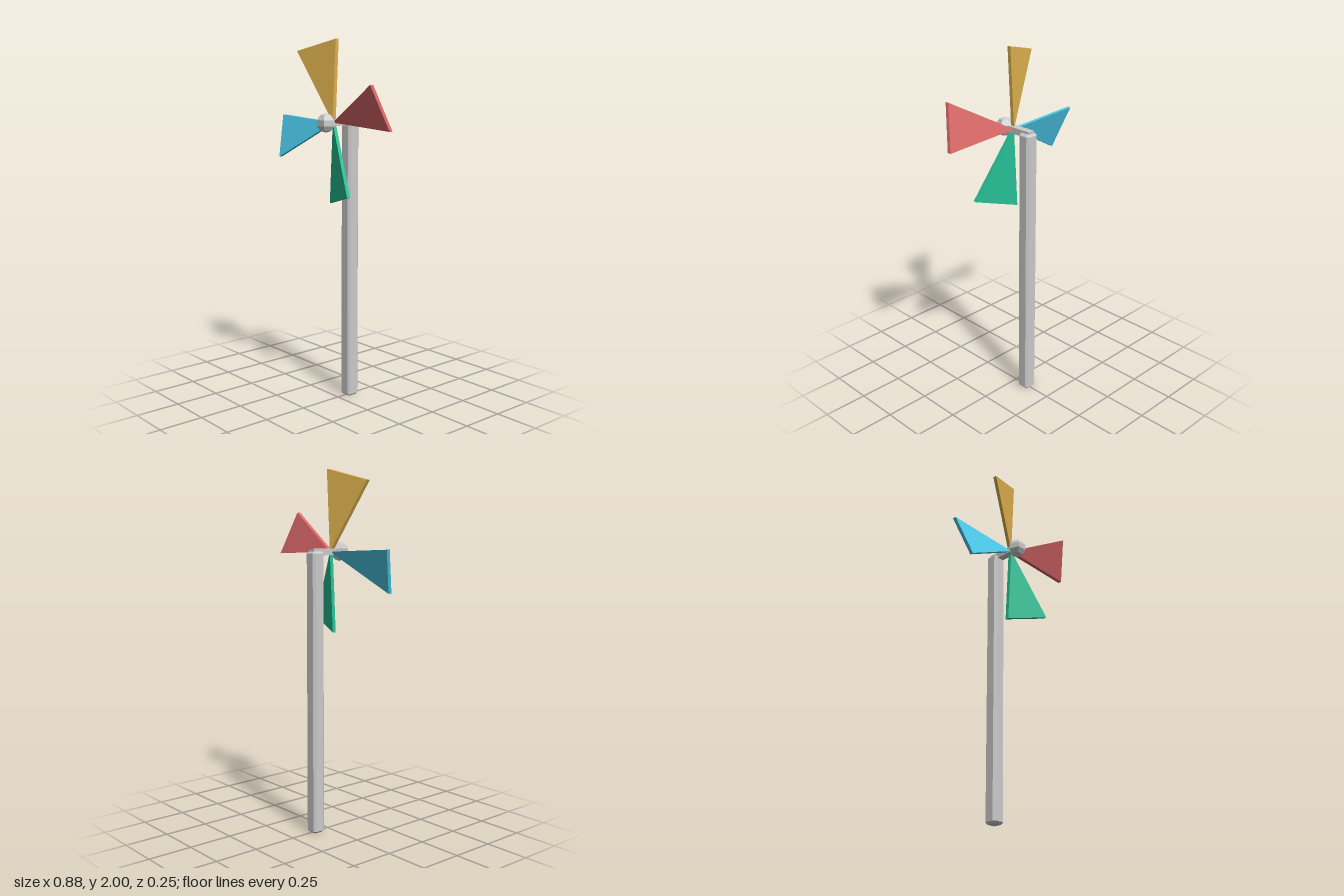
import * as THREE from 'three';

const HUB_Y = 1.56;

function mat(color) {
  return new THREE.MeshStandardMaterial({ color, flatShading: true });
}

function add(parent, name, geometry, color = 0xcccccc) {
  const mesh = new THREE.Mesh(geometry, mat(color));
  mesh.name = name;
  parent.add(mesh);
  return mesh;
}

// Square post with chamfered long edges and ends, standing on y = 0
function postGeometry(half, chamfer, height) {
  const a = half - chamfer; // the bevel grows the outline back to full width
  const c = a - chamfer * 0.6;
  const shape = new THREE.Shape([
    [a, c], [c, a], [-c, a], [-a, c], [-a, -c], [-c, -a], [c, -a], [a, -c],
  ].map(([x, y]) => new THREE.Vector2(x, y)));
  const geo = new THREE.ExtrudeGeometry(shape, {
    depth: height - 2 * chamfer, bevelEnabled: true, bevelSegments: 1,
    bevelSize: chamfer, bevelThickness: chamfer,
  });
  return geo.translate(0, 0, chamfer).rotateX(-Math.PI / 2);
}

// Thin triangular blade; its trailing corner is pitched forward
function bladeGeometry() {
  const shape = new THREE.Shape([
    new THREE.Vector2(0, 0), new THREE.Vector2(0.025, 0.44), new THREE.Vector2(-0.207, 0.378),
  ]);
  const geo = new THREE.ExtrudeGeometry(shape, { depth: 0.021, bevelEnabled: false });
  const p = geo.attributes.position;
  for (let i = 0; i < p.count; i++) {
    if (p.getX(i) < -0.1) p.setZ(i, p.getZ(i) + 0.077);
  }
  geo.computeVertexNormals();
  return geo;
}

export function createModel() {
  const model = new THREE.Group();
  model.name = 'pinwheel';

  add(model, 'post', postGeometry(0.038, 0.011, 1.565)).position.z = -0.087;

  // Axle arm from the post top to the hub
  add(model, 'axle', new THREE.BoxGeometry(0.04, 0.035, 0.155)).position.set(0, HUB_Y, -0.034);

  // Faceted hub ball
  const hub = new THREE.SphereGeometry(0.052, 5, 5).rotateY(-Math.PI / 2);
  add(model, 'hub', hub).position.set(0, HUB_Y, 0.083);

  // Four blades, a quarter turn apart
  const rotor = new THREE.Group();
  rotor.name = 'rotor';
  rotor.position.set(0, HUB_Y, 0.016);
  const blade = bladeGeometry();
  [['yellowBlade', 0xe3b550], ['blueBlade', 0x4dcdee], ['greenBlade', 0x26c296], ['redBlade', 0xdb6868]]
    .forEach(([name, color], i) => {
      add(rotor, name, blade, color).rotation.z = i * Math.PI / 2;
    });
  model.add(rotor);
  return model;
}
